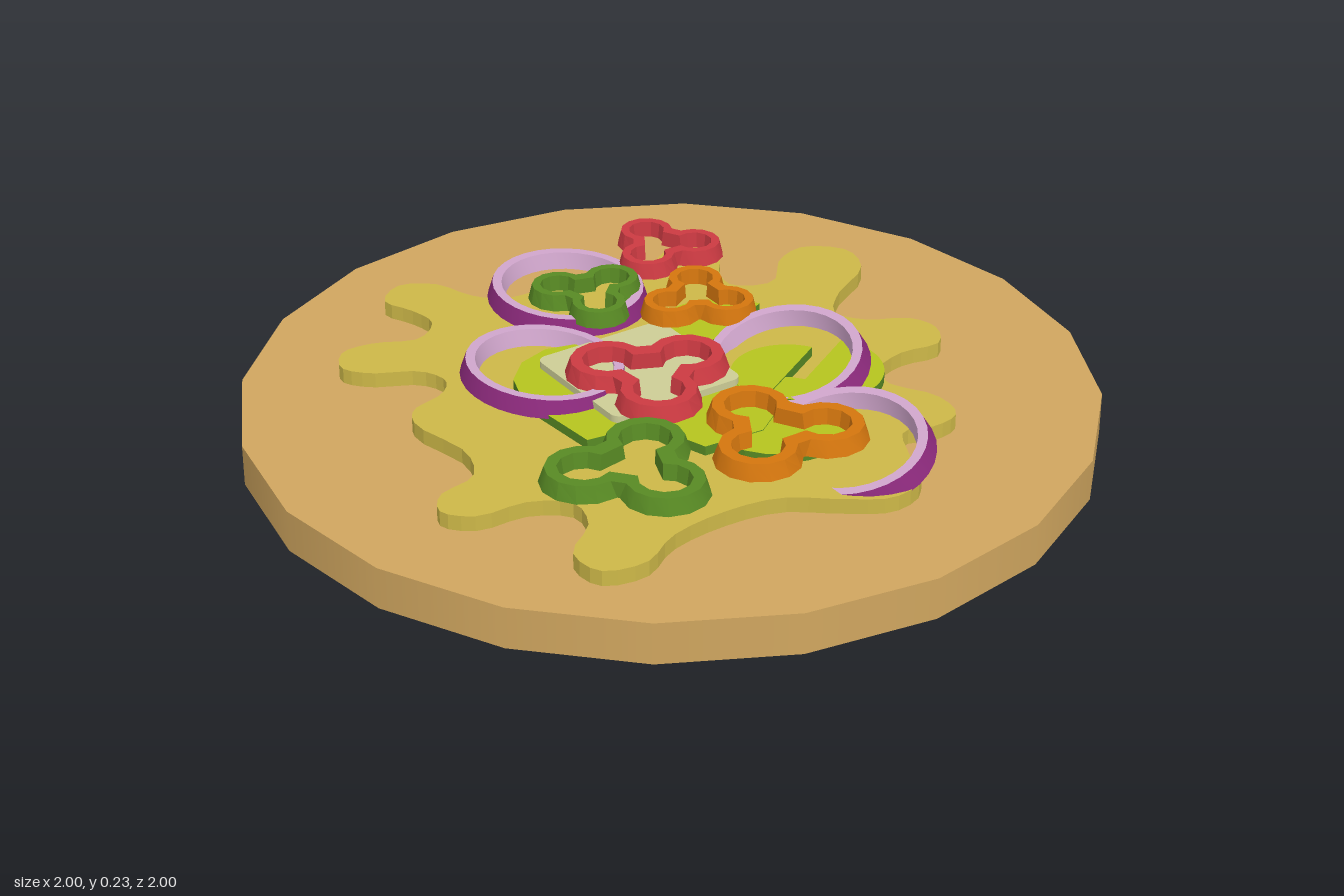
import * as THREE from 'three';
import { toCreasedNormals } from 'three/addons/utils/BufferGeometryUtils.js';

const mat = (name, color) => Object.assign(new THREE.MeshStandardMaterial({ color }), { name });

// Walls joining successive loops of [x, z] points, each loop at its own height
function loft(loops, heights) {
  const pos = [];
  for (let k = 0; k + 1 < loops.length; k++) {
    const a = loops[k], b = loops[k + 1], n = a.length;
    const pa = i => [a[i % n][0], heights[k], a[i % n][1]];
    const pb = i => [b[i % n][0], heights[k + 1], b[i % n][1]];
    for (let i = 0; i < n; i++) {
      pos.push(...pa(i), ...pb(i), ...pb(i + 1), ...pa(i), ...pb(i + 1), ...pa(i + 1));
    }
  }
  const g = new THREE.BufferGeometry();
  g.setAttribute('position', new THREE.Float32BufferAttribute(pos, 3));
  return toCreasedNormals(g, 0.45);
}

// Flat slab from an outline in x, z with its top at the given height
function slab(shape, top, depth) {
  const g = new THREE.ExtrudeGeometry(shape, { depth, bevelEnabled: false, curveSegments: 12 });
  return g.rotateX(Math.PI / 2).translate(0, top, 0);
}

function splineShape(points, divisions) {
  const curve = new THREE.CatmullRomCurve3(points.map(p => new THREE.Vector3(p[0], p[1], 0)), true, 'centripetal');
  return new THREE.Shape(curve.getPoints(divisions).slice(0, -1).map(p => new THREE.Vector2(p.x, p.y)));
}

// Three rounded lobes around a centre
function trefoil(radius, sweep) {
  const pts = [], steps = 9;
  for (let lobe = 0; lobe < 3; lobe++) {
    const phi = lobe * Math.PI * 2 / 3;
    for (let i = 0; i <= steps; i++) {
      const t = phi + THREE.MathUtils.degToRad(sweep) * (2 * i / steps - 1);
      pts.push([0.105 * Math.cos(phi) + radius * Math.cos(t), 0.105 * Math.sin(phi) + radius * Math.sin(t)]);
    }
  }
  return pts;
}

const oval = r => Array.from({ length: 32 }, (_, i) => {
  const t = i * Math.PI / 16;
  return [0.89 * r * Math.cos(t), r * Math.sin(t)];
});

export function createModel() {
  const model = new THREE.Group();
  const crustMat = mat('crust', 0xd0a65f), sauceMat = mat('sauce', 0xcdb848);
  const limeMat = mat('pickle flesh', 0xb5c41e), greenMat = mat('green', 0x588a24);
  const cheeseMat = mat('cheese', 0xcdcd96), pinkMat = mat('onion flesh', 0xd0a6cc);
  const purpleMat = mat('onion skin', 0x8c2a7c), redMat = mat('red pepper', 0xcc3a42);
  const orangeMat = mat('orange pepper', 0xd4760e);
  const add = (name, geometry, material, parent = model) => {
    const m = new THREE.Mesh(geometry, material);
    m.name = name;
    parent.add(m);
    return m;
  };

  // Base disc
  const base = new THREE.CylinderGeometry(1, 1, 0.1, 20).translate(0, 0.05, 0);
  add('base', base, crustMat);

  // Splash of sauce
  const splash = [
    [-0.30, -0.745], [-0.22, -0.70], [-0.18, -0.60], [-0.12, -0.54], [0, -0.53], [0.14, -0.48], [0.26, -0.49],
    [0.36, -0.54], [0.43, -0.52], [0.45, -0.45], [0.39, -0.36], [0.38, -0.29], [0.47, -0.25], [0.56, -0.34],
    [0.65, -0.365], [0.73, -0.29], [0.70, -0.19], [0.57, -0.11], [0.50, -0.03], [0.54, 0.04], [0.63, 0.09],
    [0.655, 0.16], [0.61, 0.23], [0.51, 0.22], [0.42, 0.25], [0.39, 0.32], [0.445, 0.43], [0.43, 0.52],
    [0.36, 0.54], [0.28, 0.52], [0.23, 0.60], [0.18, 0.71], [0.085, 0.735], [-0.01, 0.68], [-0.12, 0.60],
    [-0.26, 0.58], [-0.40, 0.60], [-0.50, 0.655], [-0.60, 0.63], [-0.61, 0.54], [-0.52, 0.46], [-0.50, 0.37],
    [-0.58, 0.31], [-0.70, 0.30], [-0.755, 0.24], [-0.72, 0.18], [-0.62, 0.15], [-0.58, 0.05], [-0.61, -0.12],
    [-0.58, -0.18], [-0.49, -0.21], [-0.45, -0.26], [-0.475, -0.33], [-0.58, -0.39], [-0.62, -0.45],
    [-0.58, -0.515], [-0.50, -0.515], [-0.40, -0.475], [-0.33, -0.53], [-0.34, -0.61], [-0.37, -0.69]];
  add('sauce', slab(splineShape(splash, 180), 0.137, 0.037), sauceMat);

  // Pickle slices: flesh on the flat faces, dark rind on the edge
  const sliceMats = [limeMat, greenMat];
  const arc = (x, z, r, from, to) => new THREE.Shape().absarc(x, z, r, from, to, false);
  const bigSlice = new THREE.Shape([[-0.37, -0.05], [-0.34, -0.14], [-0.28, -0.20], [-0.20, -0.225], [-0.10, -0.20],
    [0.02, -0.1], [0.1, 0.1], [0.1, 0.3], [0, 0.37], [-0.15, 0.36], [-0.2, 0.21], [-0.35, 0.19]]
    .map(p => new THREE.Vector2(...p)));
  add('bigPickleSlice', slab(bigSlice, 0.16, 0.025), sliceMats);
  add('roundPickleSlice', slab(arc(0.07, 0.33, 0.18, 0, Math.PI * 2), 0.158, 0.025), sliceMats);
  const cut = -0.53;
  add('upperHalfSlice', slab(arc(0.205, 0.185, 0.135, cut + Math.PI, cut + Math.PI * 2), 0.161, 0.025), sliceMats);
  add('lowerHalfSlice', slab(arc(0.265, 0.205, 0.16, cut, cut + Math.PI), 0.161, 0.025), sliceMats);
  add('rearHalfSlice', slab(arc(0.2, -0.07, 0.17, -0.43 + Math.PI, -0.43 + Math.PI * 2), 0.157, 0.022), sliceMats);

  // Cheese square with rounded corners
  const cheese = new THREE.Shape();
  const x0 = -0.26, x1 = 0.085, z0 = -0.17, z1 = 0.17, r = 0.025;
  cheese.absarc(x1 - r, z1 - r, r, 0, Math.PI / 2);
  cheese.absarc(x0 + r, z1 - r, r, Math.PI / 2, Math.PI);
  cheese.absarc(x0 + r, z0 + r, r, Math.PI, Math.PI * 1.5);
  cheese.absarc(x1 - r, z0 + r, r, Math.PI * 1.5, Math.PI * 2);
  add('cheese', slab(cheese, 0.177, 0.017), cheeseMat);

  // Onion rings: purple outside, pale inside
  const skin = loft([oval(0.212), oval(0.198)], [-0.02, 0.02]);
  const flesh = loft([oval(0.198), oval(0.174), oval(0.164), oval(0.212)], [0.02, 0.02, -0.02, -0.02]);
  [[-0.005, 0.17, -0.435, 0], [-0.262, 0.168, -0.13, -0.04], [0.228, 0.165, 0.14, 0.27], [0.12, 0.15, 0.52, 0.27]]
    .forEach(([x, y, z, tilt]) => {
      const ring = new THREE.Group();
      ring.name = 'onionRing';
      ring.position.set(x, y, z);
      ring.rotation.z = tilt;
      add('onionSkin', skin, purpleMat, ring);
      add('onionFlesh', flesh, pinkMat, ring);
      model.add(ring);
    });

  // Pepper rings: three-lobed, flared towards the bottom
  const pepper = loft(
    [trefoil(0.1, 122), trefoil(0.087, 118), trefoil(0.06, 142), trefoil(0.054, 142), trefoil(0.1, 122)],
    [0, 0.038, 0.038, 0, 0]);
  [['redPepper', redMat, -0.10, 0.07, -6, 1], ['greenPepper', greenMat, -0.37, 0.40, -40, 1],
    ['orangePepper', orangeMat, -0.015, 0.445, -90, 1], ['smallGreenPepper', greenMat, 0, -0.345, -14, 0.73],
    ['smallOrangePepper', orangeMat, 0.2, -0.18, 180, 0.73], ['smallRedPepper', redMat, 0.285, -0.455, -88, 0.73]]
    .forEach(([name, material, x, z, angle, s]) => {
      const m = add(name, pepper, material);
      m.position.set(x, 0.179, z);
      m.rotation.y = -THREE.MathUtils.degToRad(angle);
      m.scale.set(s, 1, s);
    });

  return model;
}
